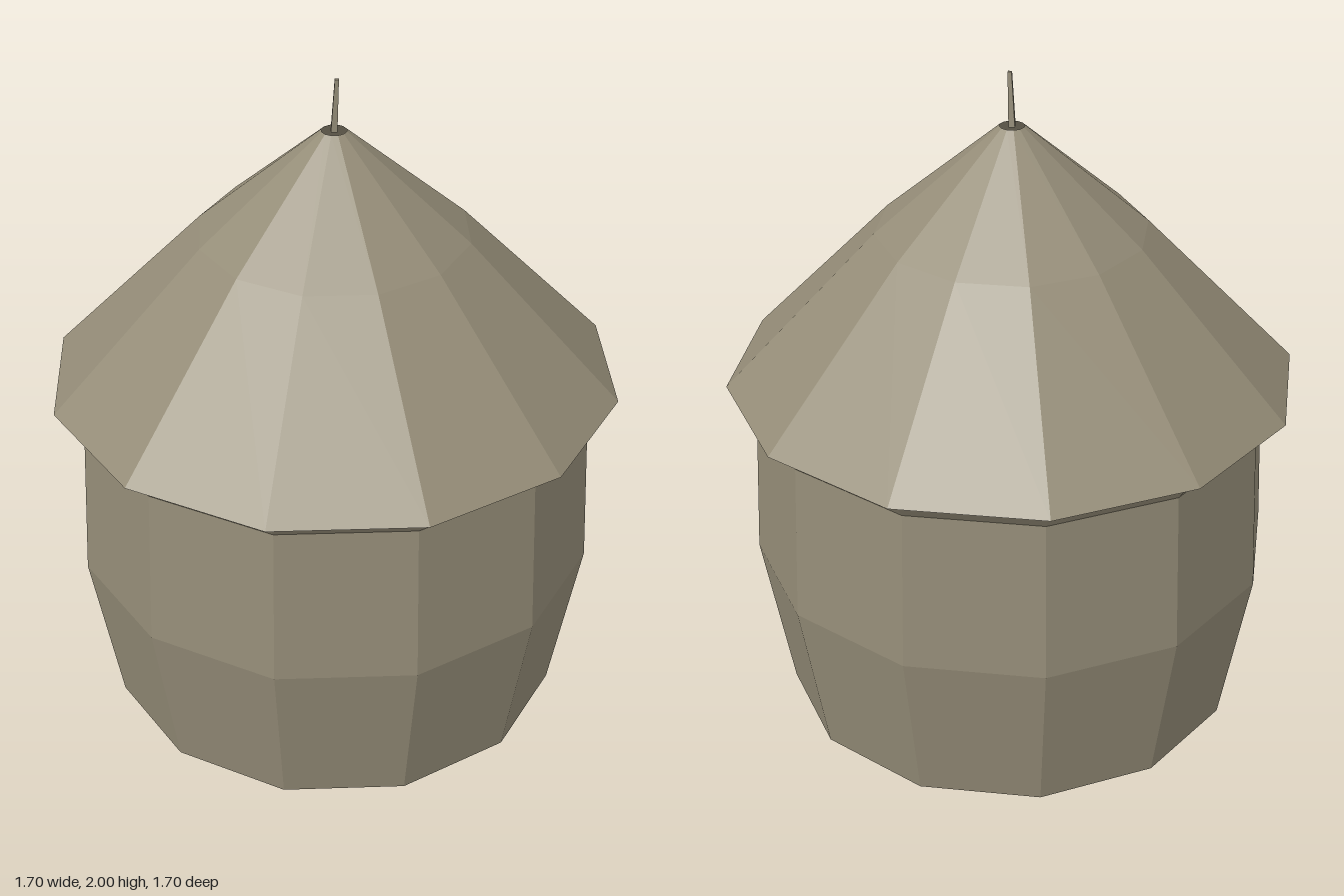
import * as THREE from 'three';

const SIDES = 12;

// Open twelve-sided shell from a bottom-to-top profile of [radius, height] pairs
function shell(name, profile, material) {
  const points = profile.map(([r, y]) => new THREE.Vector2(r, y));
  const geometry = new THREE.LatheGeometry(points, SIDES).toNonIndexed();
  geometry.computeVertexNormals();
  const mesh = new THREE.Mesh(geometry, material);
  mesh.name = name;
  return mesh;
}

export function createModel() {
  const group = new THREE.Group();
  group.name = 'roundHut';

  const clay = new THREE.MeshStandardMaterial({ color: 0x958d78, flatShading: true, side: THREE.DoubleSide });
  clay.name = 'weatheredClay';

  // Bulging wall, open at the bottom
  group.add(shell('wall', [[0.695, 0], [0.785, 0.5], [0.765, 0.99]], clay));

  // Flared band that carries the roof
  group.add(shell('eavesBand', [[0.765, 0.99], [0.828, 1.075]], clay));

  // Two-pitch roof with a small smoke hole
  group.add(shell('roof', [[0.85, 1.06], [0.4, 1.53], [0.037, 1.843]], clay));

  // Thin four-sided spike, leaning slightly to +x
  const spikeGeometry = new THREE.CylinderGeometry(0.008, 0.013, 0.16, 4).toNonIndexed();
  const lean = new THREE.Matrix4().makeShear(0, 0, 0.065, 0, 0, 0);
  lean.identity().elements[4] = 0.065; // x shifts with y
  spikeGeometry.applyMatrix4(lean);
  spikeGeometry.computeVertexNormals();
  const spike = new THREE.Mesh(spikeGeometry, clay);
  spike.name = 'roofSpike';
  spike.position.set(0.005, 1.92, 0);
  group.add(spike);

  return group;
}
